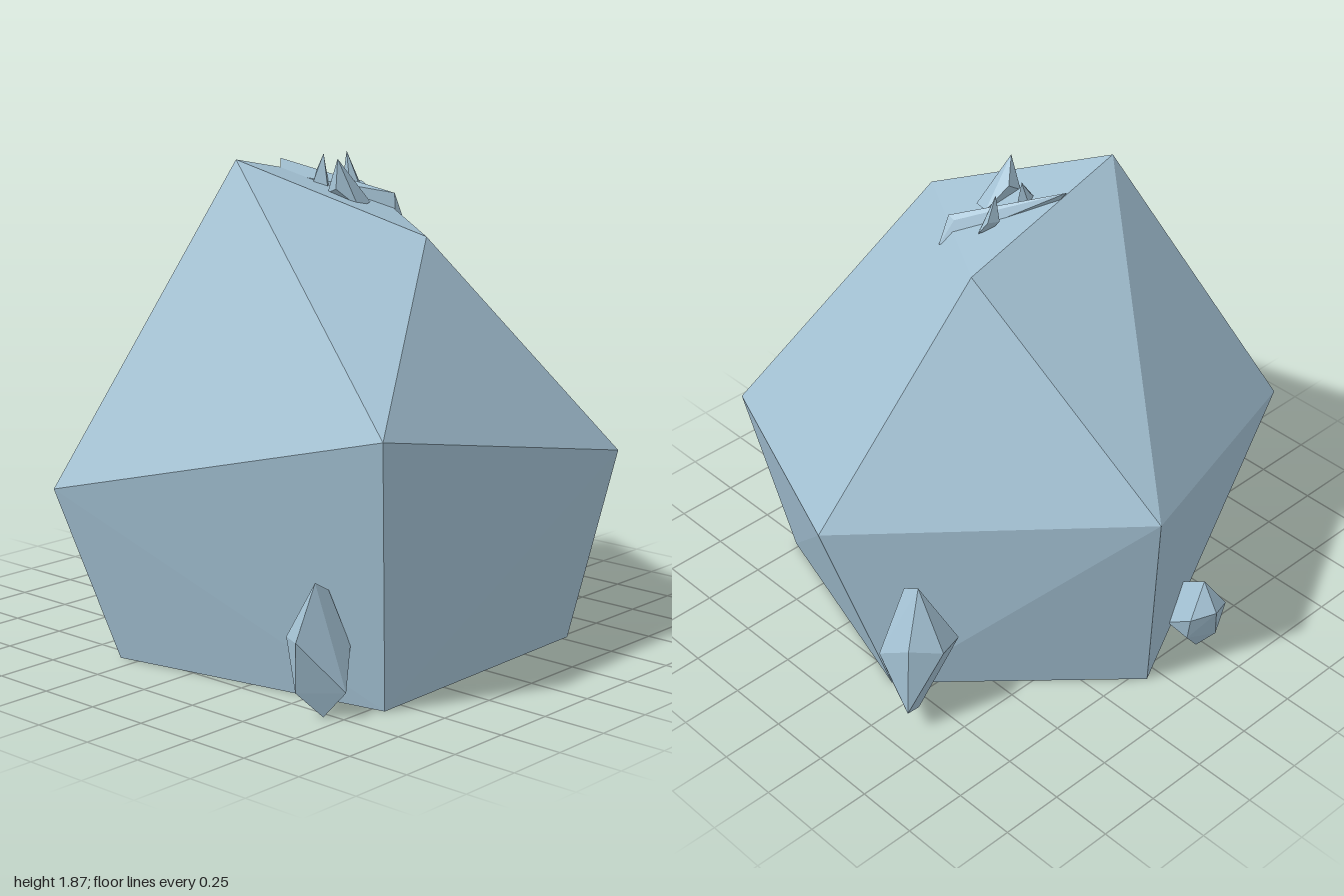
import * as THREE from 'three';
import { ConvexGeometry } from 'three/addons/geometries/ConvexGeometry.js';

const ice = new THREE.MeshStandardMaterial({ color: 0xa3c1d3 });
ice.name = 'paleBlueIce';

// A faceted solid wrapped around a few corner points.
function facetedSolid(name, corners) {
  const points = corners.map(([x, y, z]) => new THREE.Vector3(x, y, z));
  const mesh = new THREE.Mesh(new ConvexGeometry(points), ice);
  mesh.name = name;
  return mesh;
}

export function createModel() {
  const group = new THREE.Group();
  group.name = 'iceBoulder';

  group.add(
    // Main boulder: three peak corners, a five-sided waist, a flat five-sided foot
    facetedSolid('boulder', [
      [-0.4, 1.87, -0.1], [0.38, 1.72, -0.17], [-0.07, 1.61, 0.54],
      [-1, 0.67, -0.47], [0.19, 0.94, -0.95], [1, 0.79, 0], [0.64, 0.75, 0.91], [-0.78, 1.03, 0.95],
      [-0.81, 0, -0.33], [0.06, 0, -0.8], [0.79, 0, -0.13], [0.53, 0, 0.77], [-0.59, 0, 0.8],
    ]),

    // Crystals around the foot
    facetedSolid('rightFootCrystal', [
      [-0.8, 0.49, 0.66], [-0.73, 0.45, 0.66], [-0.69, 0.38, 0.62], [-0.91, 0.3, 0.67],
      [-0.66, 0.24, 0.7], [-0.75, 0.1, 0.76], [-0.66, 0.08, 0.66], [-0.87, 0.1, 0.63],
      [-0.78, 0, 0.68], [-0.83, 0.28, 0.55], [-0.74, 0.26, 0.54],
    ]),
    facetedSolid('leftFootCrystal', [
      [0.82, 0.64, -0.34], [0.82, 0.59, -0.26], [0.96, 0.36, -0.27], [0.81, 0.39, -0.46],
      [0.92, 0.42, -0.39], [0.85, 0.13, -0.18], [0.93, 0.11, -0.385], [0.81, 0.01, -0.31],
      [0.68, 0.35, -0.4], [0.72, 0.2, -0.22],
    ]),
    facetedSolid('backFootCrystal', [
      [-0.2, 0.37, -0.84], [-0.2, 0.25, -0.91], [-0.12, 0.22, -0.85], [-0.3, 0.22, -0.87],
      [-0.33, 0.18, -0.78], [-0.25, 0.09, -0.87], [-0.14, 0.1, -0.82], [-0.22, 0, -0.8],
      [-0.2, 0.28, -0.7], [-0.11, 0.15, -0.74], [-0.27, 0.1, -0.72],
    ]),

    // Long sliver lying across the peak
    facetedSolid('peakSliver', [
      [-0.16, 1.8, -0.1], [-0.11, 1.85, -0.15], [-0.1, 1.79, -0.11],
      [0.22, 1.62, 0.18], [0.16, 1.72, 0.19], [0.15, 1.63, 0.2], [0.16, 1.71, 0.16],
    ]),

    // Small spikes on the peak
    facetedSolid('largeSpike', [
      [-0.13, 1.87, 0.16], [-0.15, 1.76, 0.17], [-0.13, 1.74, 0.11], [-0.06, 1.79, 0.1],
      [0.03, 1.71, 0.13], [0.01, 1.7, 0.2], [-0.08, 1.69, 0.22],
    ]),
    facetedSolid('middleSpike', [
      [-0.02, 1.87, -0.01], [-0.06, 1.81, -0.01], [-0.1, 1.77, 0.01], [-0.02, 1.74, 0.02],
      [-0.06, 1.73, 0.05], [-0.05, 1.76, -0.02],
    ]),
    facetedSolid('sideSpike', [
      [0.11, 1.87, -0.01], [0.1, 1.76, -0.02], [0.1, 1.71, 0.02], [0.15, 1.77, -0.01],
      [0.17, 1.72, 0.02], [0.14, 1.7, 0.05],
    ]),
  );
  return group;
}
